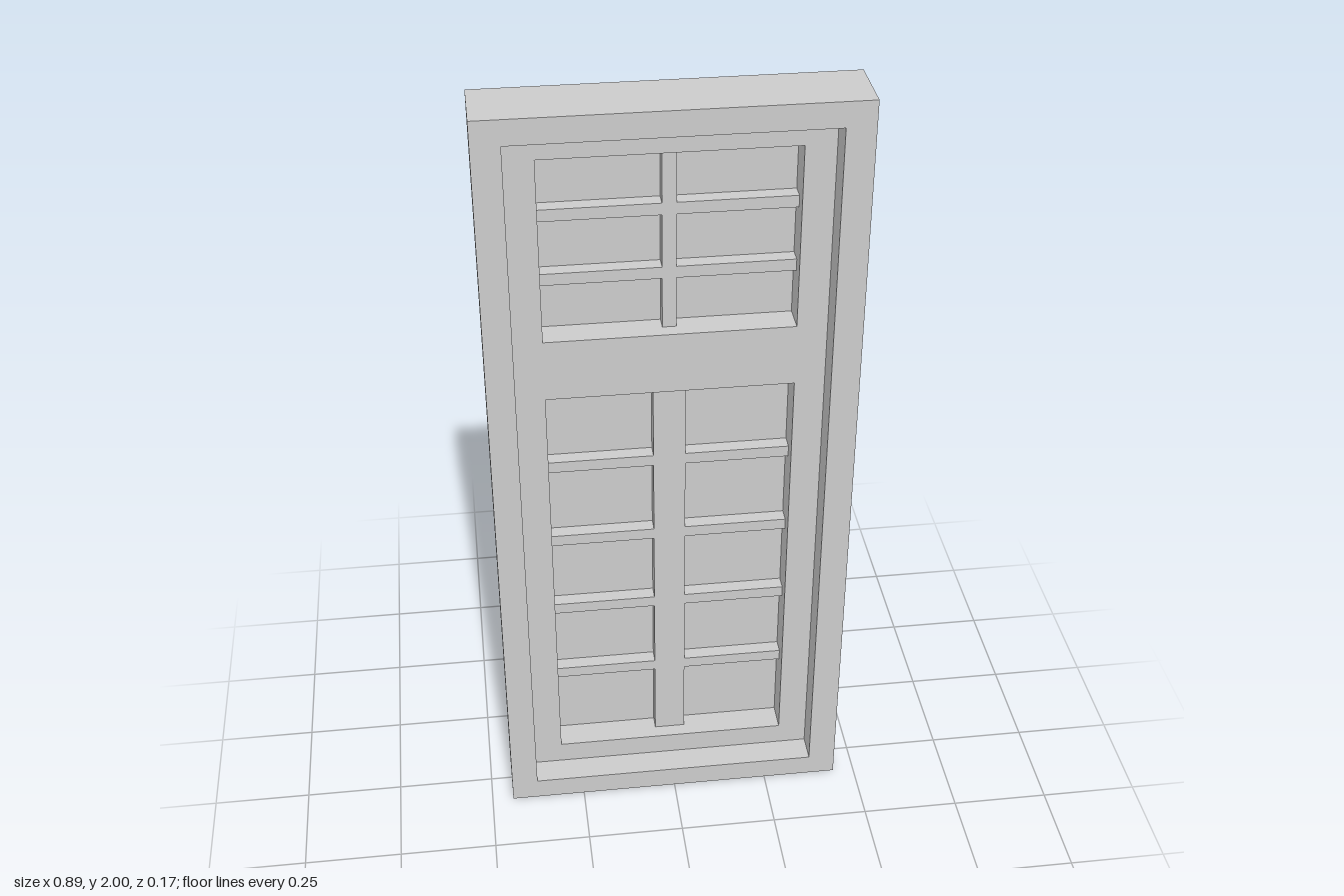
import * as THREE from 'three';

const BACK = -0.083, FRONT = 0.083;   // overall depth
const SASH = 0.01;                    // sash face, set back in the frame
const BAR = -0.027;                   // glazing bar face
const PANE = -0.064;                  // pane face

const material = new THREE.MeshStandardMaterial({ color: 0xcccccc, flatShading: true });

function rect(target, [x0, x1, y0, y1]) {
  target.moveTo(x0, y0);
  target.lineTo(x1, y0);
  target.lineTo(x1, y1);
  target.lineTo(x0, y1);
  target.closePath();
  return target;
}

// Flat slab with rectangular openings, running from the back to zFront
function slab(name, outer, openings, zFront) {
  const shape = rect(new THREE.Shape(), outer);
  openings.forEach((o) => shape.holes.push(rect(new THREE.Path(), o)));
  const geometry = new THREE.ExtrudeGeometry(shape, { depth: zFront - BACK, bevelEnabled: false });
  geometry.translate(0, 0, BACK);
  const mesh = new THREE.Mesh(geometry, material);
  mesh.name = name;
  return mesh;
}

// Rectangular block given by its limits
function block(name, [x0, x1, y0, y1], z0, z1) {
  const mesh = new THREE.Mesh(new THREE.BoxGeometry(x1 - x0, y1 - y0, z1 - z0), material);
  mesh.position.set((x0 + x1) / 2, (y0 + y1) / 2, (z0 + z1) / 2);
  mesh.name = name;
  return mesh;
}

// Pane with one upright bar and a row of cross bars on each side of it
function glazing(name, [x0, x1, y0, y1], halfUpright, crossBars) {
  const group = new THREE.Group();
  group.name = name;
  group.add(block('pane', [x0, x1, y0, y1], BACK, PANE));
  group.add(block('uprightBar', [-halfUpright, halfUpright, y0, y1], PANE, BAR));
  for (const y of crossBars) {
    group.add(block('crossBarRight', [x0, -halfUpright, y - 0.015, y + 0.015], PANE, BAR));
    group.add(block('crossBarLeft', [halfUpright, x1, y - 0.015, y + 0.015], PANE, BAR));
  }
  return group;
}

export function createModel() {
  const model = new THREE.Group();
  model.name = 'panelledWindow';

  const frameOpening = [-0.376, 0.374, 0.058, 1.938];
  const upper = [-0.303, 0.3, 1.4, 1.867];
  const lower = [-0.303, 0.3, 0.117, 1.241];

  // Outer frame and the recessed sash inside it
  model.add(slab('outerFrame', [-0.444, 0.444, 0, 2], [frameOpening], FRONT));
  model.add(slab('sash', frameOpening, [upper, lower], SASH));

  // Upper light and taller lower light
  model.add(glazing('upperLight', upper, 0.017, [1.711, 1.546]));
  model.add(glazing('lowerLight', lower, 0.04, [1.016, 0.788, 0.565, 0.344]));
  return model;
}
